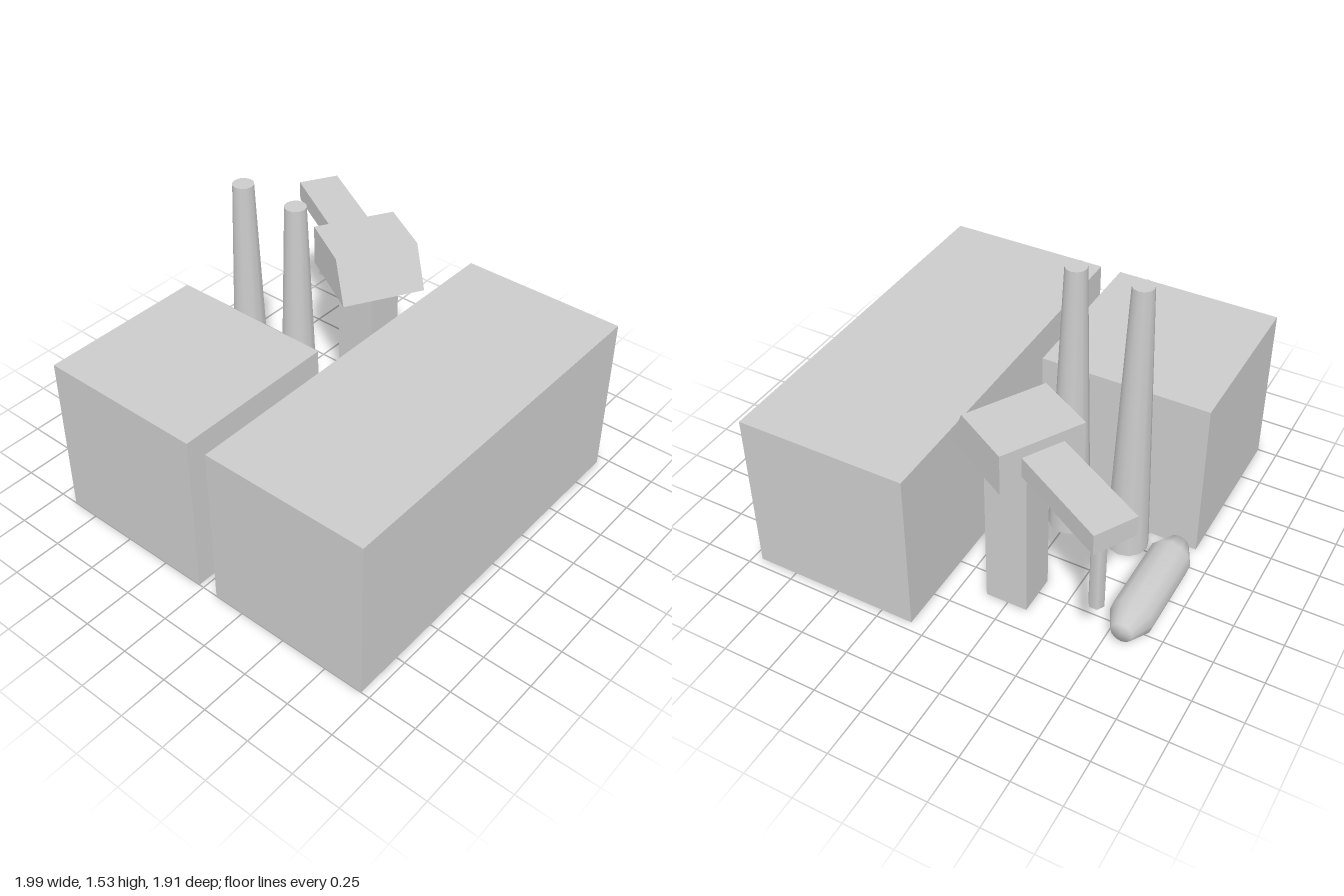
import * as THREE from 'three';

const material = new THREE.MeshStandardMaterial({ color: 0xcccccc });
const openMaterial = new THREE.MeshStandardMaterial({ color: 0xcccccc, side: THREE.DoubleSide });

function addMesh(parent, name, geometry, x = 0, y = 0, z = 0, mat = material) {
  const mesh = new THREE.Mesh(geometry, mat);
  mesh.name = name;
  mesh.position.set(x, y, z);
  parent.add(mesh);
  return mesh;
}

export function createModel() {
  const model = new THREE.Group();
  model.name = 'factory';
  const roof = 0.875;

  // Two plain halls
  addMesh(model, 'longHall', new THREE.BoxGeometry(1.955, roof, 0.87), -0.0225, roof / 2, 0.52);
  addMesh(model, 'shortHall', new THREE.BoxGeometry(0.87, roof, 0.872), -0.565, roof / 2, -0.462);

  // Tapered chimneys
  const chimney = new THREE.CylinderGeometry(0.053, 0.108, 1.53, 12);
  for (const z of [-0.572, -0.246]) addMesh(model, 'chimney', chimney, -0.022, 0.765, z);

  // Lying tank with chamfered ends
  const profile = [[0, -0.325], [0.056, -0.325], [0.108, -0.217], [0.108, 0.217], [0.056, 0.325], [0, 0.325]]
    .map(([r, y]) => new THREE.Vector2(r, y));
  const tank = addMesh(model, 'tank', new THREE.LatheGeometry(profile, 12), 0.305, 0.108, -0.844);
  tank.rotation.z = -Math.PI / 2;

  // Hollow square column carrying the crane
  const column = new THREE.CylinderGeometry(0.108 * Math.SQRT2, 0.108 * Math.SQRT2, roof, 4, 1, true)
    .rotateY(Math.PI / 4).toNonIndexed();
  column.computeVertexNormals();
  addMesh(model, 'craneColumn', column, 0.52, roof / 2, -0.243, openMaterial);

  // Crane top, turned 30 degrees
  const crane = new THREE.Group();
  crane.name = 'crane';
  crane.position.set(0.52, 0, -0.245);
  crane.rotation.y = -Math.PI / 6;
  model.add(crane);

  // Cab with a sloping front: the side outline extruded across the width
  const outline = new THREE.Shape([[-0.216, 0.875], [0.216, 0.875], [0.107, 1.09], [-0.216, 1.09]]
    .map(([z, y]) => new THREE.Vector2(z, y)));
  const cab = new THREE.ExtrudeGeometry(outline, { depth: 0.432, bevelEnabled: false });
  cab.translate(0, 0, -0.216).rotateY(-Math.PI / 2);
  addMesh(crane, 'craneCab', cab);

  // Jib and the hanging hexagonal pipe near its end
  addMesh(crane, 'craneJib', new THREE.BoxGeometry(0.215, 0.105, 0.545), 0, 0.983, -0.49);
  const pipe = addMesh(crane, 'hangingPipe', new THREE.CylinderGeometry(0.038, 0.038, 0.44, 6), 0, 0.711, -0.653);
  pipe.rotation.y = Math.PI / 6;

  return model;
}
